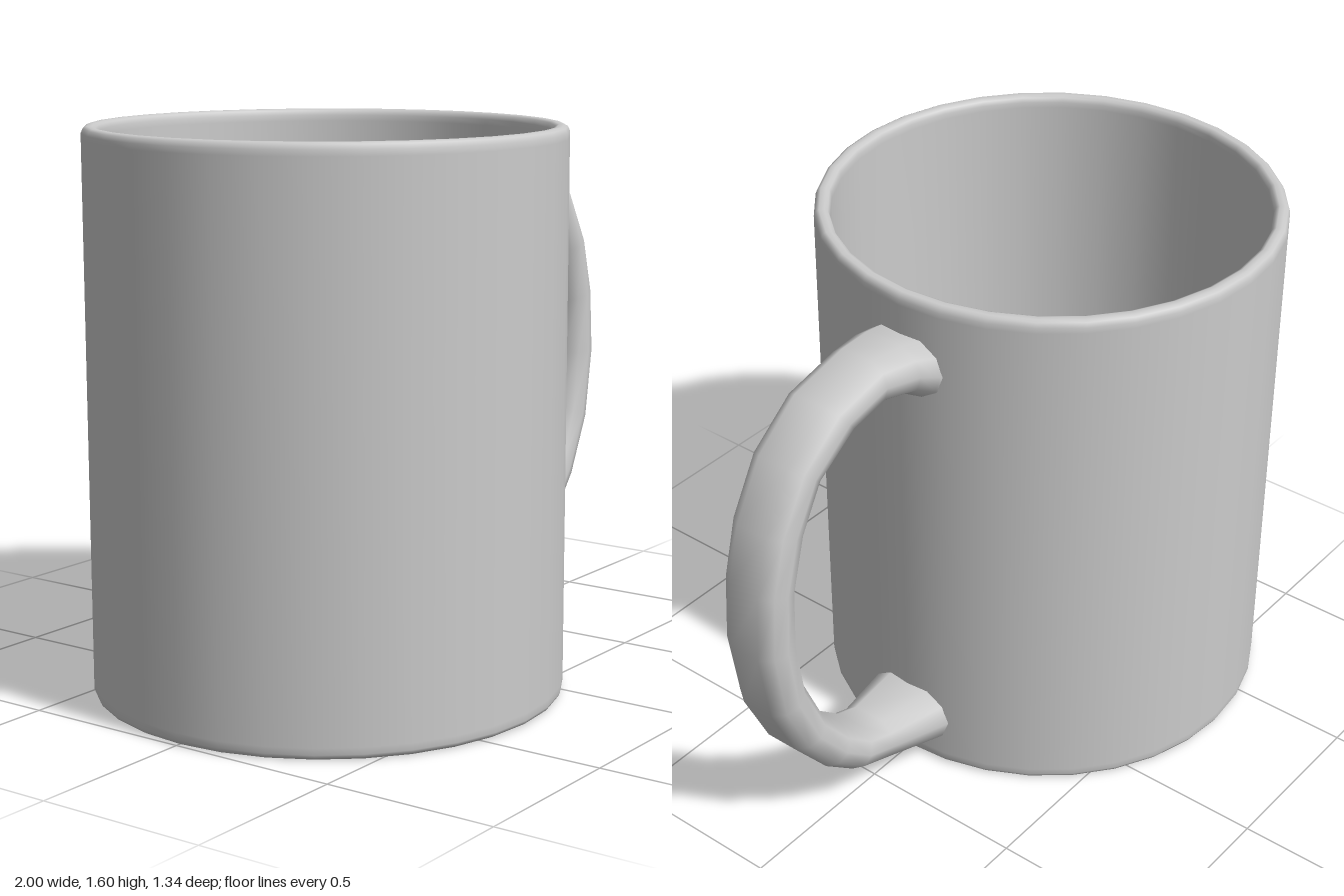
import * as THREE from 'three';

const material = new THREE.MeshStandardMaterial({ color: 0xcccccc });

// Cup: one closed profile, up the outside, over the rim and down the inside
function createCup() {
  const profile = [
    [0, 0], [0.64, 0], [0.655, 0], [0.665, 0.006], [0.67, 0.016], [0.67, 0.035],
    [0.67, 1.565], [0.67, 1.582], [0.664, 1.595], [0.655, 1.6],
    [0.64, 1.6], [0.63, 1.595], [0.625, 1.582], [0.625, 1.565],
    [0.625, 0.07], [0.605, 0.05], [0, 0.05],
  ].map(([r, y]) => new THREE.Vector2(r, y));
  const cup = new THREE.Mesh(new THREE.LatheGeometry(profile, 32), material);
  cup.name = 'cup';
  cup.position.x = -0.33;
  return cup;
}

// Handle: a soft rectangular section swept through the stations
function createHandle() {
  // Outer x, y, inner x, y, half width
  const stations = [
    [0.20, 1.44, 0.27, 1.24, 0.16],
    [0.33, 1.475, 0.335, 1.30, 0.135],
    [0.40, 1.49, 0.39, 1.335, 0.12],
    [0.51, 1.495, 0.50, 1.36, 0.1],
    [0.70, 1.45, 0.61, 1.34, 0.1],
    [0.845, 1.335, 0.745, 1.255, 0.1],
    [0.94, 1.17, 0.815, 1.13, 0.1],
    [0.985, 1.0, 0.86, 0.97, 0.1],
    [1.0, 0.8, 0.865, 0.8, 0.1],
    [0.965, 0.58, 0.84, 0.62, 0.1],
    [0.88, 0.40, 0.77, 0.46, 0.1],
    [0.76, 0.25, 0.68, 0.35, 0.1],
    [0.65, 0.16, 0.59, 0.275, 0.1],
    [0.53, 0.115, 0.515, 0.25, 0.1],
    [0.34, 0.068, 0.335, 0.25, 0.14],
    [0.22, 0.04, 0.22, 0.25, 0.16],
  ];
  // Section points: across (z) and along the outward direction
  const section = [
    [1, 0], [0.87, 0.6], [0.5, 1], [-0.5, 1], [-0.87, 0.6],
    [-1, 0], [-0.87, -0.6], [-0.5, -1], [0.5, -1], [0.87, -0.6],
  ];
  const n = section.length;
  const positions = [];
  const index = [];

  const addRing = ([ox, oy, ix, iy, w]) => {
    const start = positions.length / 3;
    for (const [across, out] of section) {
      const t = (out + 1) / 2;
      positions.push(ix + (ox - ix) * t, iy + (oy - iy) * t, w * across);
    }
    return start;
  };

  // Side walls
  stations.forEach((station, s) => {
    const a = addRing(station);
    if (s === 0) return;
    for (let k = 0; k < n; k++) {
      const j = (k + 1) % n;
      const p = a - n;
      index.push(p + k, a + k, p + j, p + j, a + k, a + j);
    }
  });

  // End caps with their own corners, so their edges stay sharp
  const first = addRing(stations[0]);
  const last = addRing(stations[stations.length - 1]);
  for (let k = 1; k < n - 1; k++) {
    index.push(first, first + k, first + k + 1);
    index.push(last, last + k + 1, last + k);
  }

  const geometry = new THREE.BufferGeometry();
  geometry.setAttribute('position', new THREE.Float32BufferAttribute(positions, 3));
  geometry.setIndex(index);
  geometry.computeVertexNormals();
  const handle = new THREE.Mesh(geometry, material);
  handle.name = 'handle';
  return handle;
}

export function createModel() {
  const mug = new THREE.Group();
  mug.name = 'mug';
  mug.add(createCup(), createHandle());
  return mug;
}
